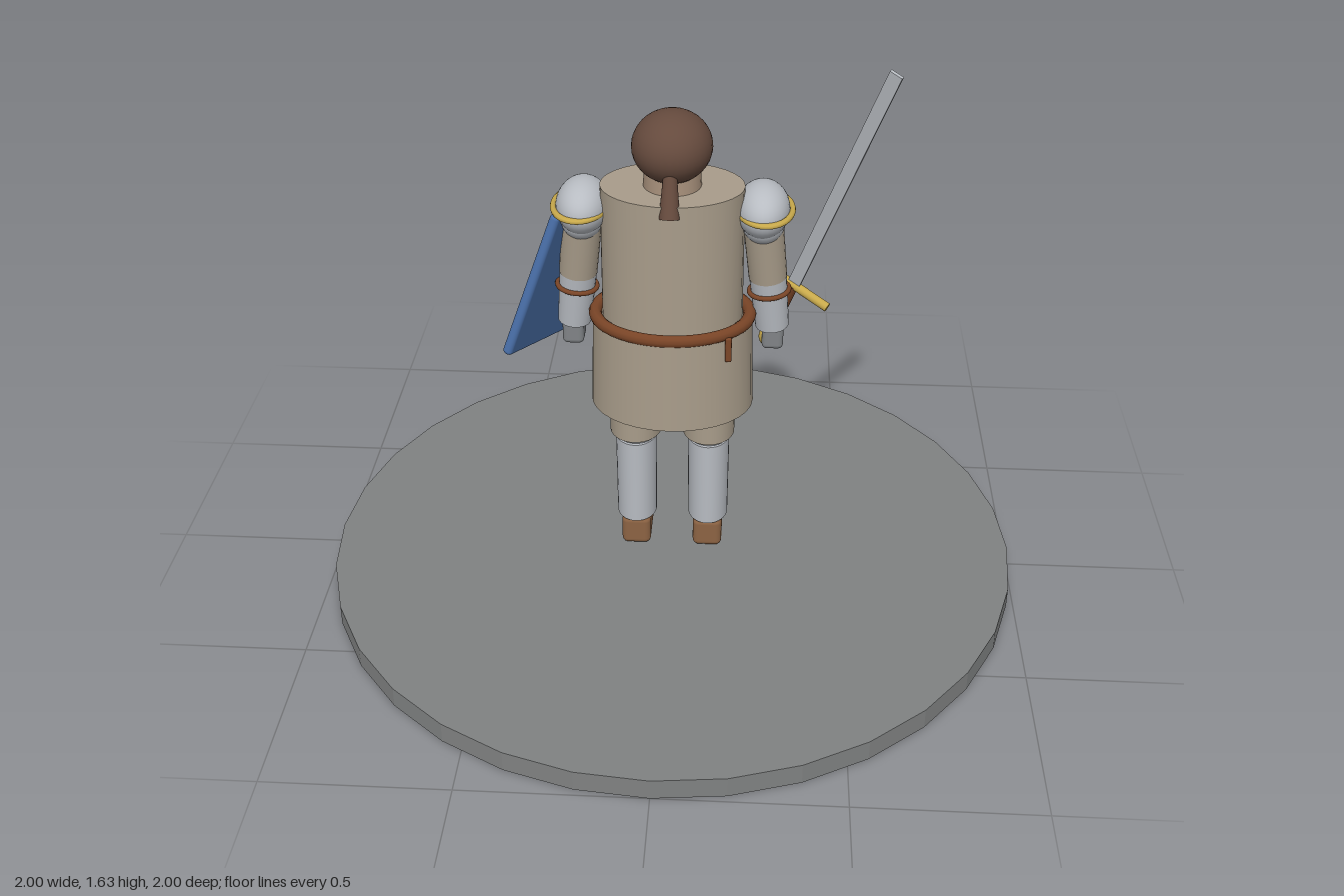
import * as THREE from 'three';
import { RoundedBoxGeometry } from 'three/addons/geometries/RoundedBoxGeometry.js';

const paint = (name, color, flat = false) => {
  const m = new THREE.MeshStandardMaterial({ color, flatShading: flat });
  m.name = name;
  return m;
};

export function createModel() {
  const stone = paint('stone', 0x808282, true);
  const cloth = paint('cloth', 0xa89c8a);
  const silver = paint('silver', 0xb8bcc2);
  const steel = paint('darkSteel', 0x808386);
  const hair = paint('hair', 0x654a3d);
  const leather = paint('beltLeather', 0x7a4527);
  const boot = paint('bootLeather', 0x8c6343);
  const blue = paint('shieldBlue', 0x4a70aa);
  const gold = paint('gold', 0xc8a94b);
  const skin = paint('skin', 0xa8917c);

  const model = new THREE.Group();
  model.name = 'knightFigure';
  const V = (x, y, z) => new THREE.Vector3(x, y, z);

  const add = (name, geo, mat, x, y, z, parent = model) => {
    const m = new THREE.Mesh(geo, mat);
    m.name = name;
    m.position.set(x, y, z);
    parent.add(m);
    return m;
  };
  const ellipsoid = (rx, ry, rz) => new THREE.SphereGeometry(1, 32, 20).scale(rx, ry, rz);
  // Upright drum with an oval section
  const drum = (rTop, rBottom, h, depth = 1) =>
    new THREE.CylinderGeometry(rTop, rBottom, h, 32).scale(1, 1, depth);
  // Horizontal oval ring
  const ring = (rx, rz, tube) =>
    new THREE.TorusGeometry(1, tube / rx, 10, 48).rotateX(Math.PI / 2).scale(rx, rx, rz);
  // Round limb between two points
  const limb = (name, a, b, ra, rb, mat, parent = model) => {
    const m = add(name, new THREE.CylinderGeometry(rb, ra, a.distanceTo(b), 24), mat, 0, 0, 0, parent);
    m.position.copy(a).lerp(b, 0.5);
    m.quaternion.setFromUnitVectors(V(0, 1, 0), b.clone().sub(a).normalize());
    return m;
  };

  // Display base
  add('base', new THREE.CylinderGeometry(1, 1, 0.06, 32), stone, 0, 0.03, 0);

  // Tunic, skirt and belt
  add('skirt', drum(0.222, 0.23, 0.28, 0.79), cloth, 0, 0.7, 0);
  add('torso', drum(0.195, 0.195, 0.41, 0.74), cloth, 0, 1.025, 0.002);
  add('belt', ring(0.215, 0.167, 0.018), leather, 0, 0.84, 0);
  add('buckle', new RoundedBoxGeometry(0.08, 0.04, 0.02, 2, 0.006), gold, 0, 0.84, -0.178);
  add('beltTongue', new RoundedBoxGeometry(0.018, 0.075, 0.014, 2, 0.005), leather, 0.16, 0.8, 0.132);

  // Head, hair and beard
  add('neck', drum(0.075, 0.08, 0.1), skin, 0, 1.25, 0);
  add('head', ellipsoid(0.09, 0.105, 0.1), skin, 0, 1.32, -0.02);
  add('hairCap', ellipsoid(0.108, 0.096, 0.12), hair, 0, 1.348, 0.014);
  add('beard', ellipsoid(0.075, 0.062, 0.06), hair, 0, 1.262, -0.083);
  limb('ponytail', V(0, 1.305, 0.105), V(0, 1.195, 0.14), 0.018, 0.028, hair);

  for (const s of [1, -1]) {
    const side = s > 0 ? 'left' : 'right';

    // Leg, facing -z
    const leg = new THREE.Group();
    leg.name = side + 'Leg';
    leg.position.x = s * 0.105;
    model.add(leg);
    add('boot', new RoundedBoxGeometry(0.085, 0.095, 0.165, 3, 0.018), boot, 0, 0.112, -0.033, leg);
    add('greave', drum(0.06, 0.058, 0.27, 1.25), silver, 0, 0.295, -0.01, leg);
    add('greaveStripe', new THREE.BoxGeometry(0.012, 0.25, 0.008), gold, 0, 0.295, -0.085, leg);
    add('kneeJoint', drum(0.055, 0.055, 0.06), steel, 0, 0.445, 0, leg);
    add('kneeCop', ellipsoid(0.06, 0.048, 0.043), steel, 0, 0.445, -0.077, leg);
    add('thigh', drum(0.074, 0.074, 0.16, 1.13), cloth, 0, 0.535, 0.004, leg);

    // Breastplate half
    add(side + 'ChestPlate', new RoundedBoxGeometry(0.12, 0.18, 0.05, 3, 0.015), silver, s * 0.125, 1.045, -0.108);

    // Arm with layered shoulder armour
    const arm = new THREE.Group();
    arm.name = side + 'Arm';
    model.add(arm);
    const at = (y) => V(s * (0.245 + (1.12 - y) * 0.1), y, -0.005 - (1.12 - y) * 0.09);
    add('shoulderDome', ellipsoid(0.073, 0.075, 0.108), silver, s * 0.243, 1.16, -0.01, arm);
    add('shoulderLame', ellipsoid(0.06, 0.06, 0.075), silver, s * 0.245, 1.125, -0.005, arm);
    add('shoulderTrim', ring(0.073, 0.108, 0.008), gold, s * 0.25, 1.16, -0.01, arm);
    limb('sleeve', at(0.95), at(1.13), 0.053, 0.055, cloth, arm);
    limb('vambrace', at(0.79), at(0.99), 0.047, 0.053, silver, arm);
    const strap = add('armStrap', ring(0.055, 0.055, 0.007), leather, 0, 0, 0, arm);
    strap.position.copy(at(0.905));
    strap.rotation.z = s * 0.1;
    const hand = add('gauntlet', new RoundedBoxGeometry(0.06, 0.085, 0.08, 3, 0.015), steel, 0, 0, 0, arm);
    hand.position.copy(at(0.768));
  }

  // Shield: a tilted slab with a central boss
  const shield = new THREE.Group();
  shield.name = 'shield';
  const up = V(0.155, 0.44, 0).normalize();
  const out = V(-0.135, 0.055, 0.25).cross(up).normalize();
  shield.quaternion.setFromRotationMatrix(new THREE.Matrix4().makeBasis(up.clone().cross(out), up, out));
  shield.position.set(-0.322, 0.912, -0.068);
  model.add(shield);
  add('shieldBoard', new RoundedBoxGeometry(0.29, 0.465, 0.03, 3, 0.013), blue, 0, 0, 0, shield);
  add('shieldBoss', ellipsoid(0.048, 0.048, 0.025), silver, 0, 0, 0.018, shield);

  // Sword: built upward from the pommel, then tilted
  const sword = new THREE.Group();
  sword.name = 'sword';
  const pommel = V(0.27, 0.68, -0.155);
  const axis = V(0.56, 1.62, 0.165).sub(pommel).normalize();
  const flat = V(0.2, -0.09, 0.095).cross(axis).normalize();
  sword.quaternion.setFromRotationMatrix(new THREE.Matrix4().makeBasis(axis.clone().cross(flat), axis, flat));
  sword.position.copy(pommel);
  model.add(sword);
  add('pommel', ellipsoid(0.028, 0.032, 0.028), gold, 0, 0, 0, sword);
  add('grip', new THREE.CylinderGeometry(0.015, 0.015, 0.23, 16), leather, 0, 0.115, 0, sword);
  add('guard', new THREE.CylinderGeometry(0.013, 0.013, 0.23, 16).rotateZ(Math.PI / 2), gold, 0, 0.23, 0, sword);
  add('blade', new THREE.BoxGeometry(0.036, 0.8, 0.01), silver, 0, 0.632, 0, sword);

  return model;
}
